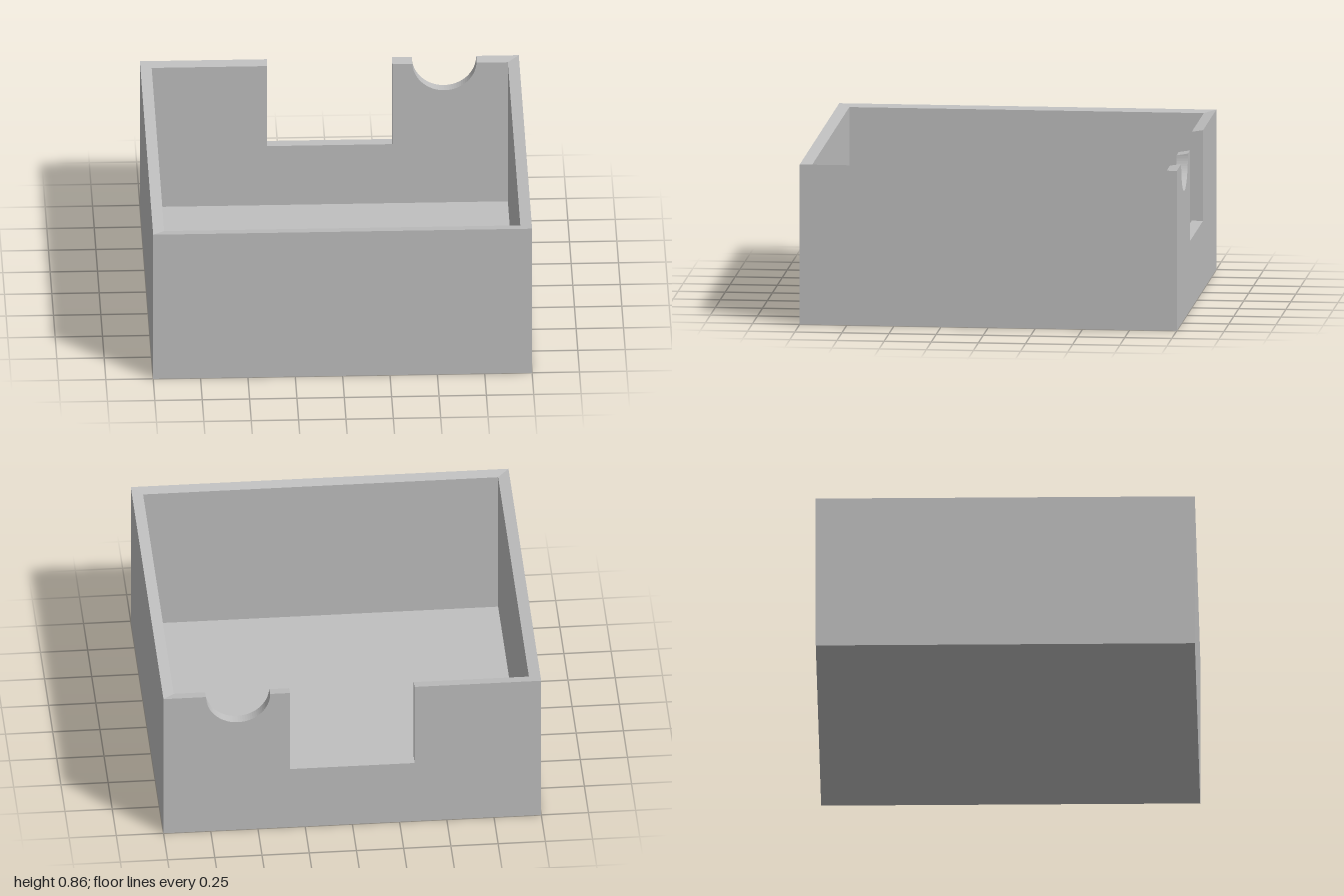
import * as THREE from 'three';

const HEIGHT = 0.855, WALL = 0.06, FLOOR = 0.02, RIM_DROP = 0.01;

// Outline of one wall, seen from outside; `cut` adds notches along the top edge
function wallShape(cut) {
  const s = new THREE.Shape();
  s.moveTo(-1, 0);
  s.lineTo(1, 0);
  s.lineTo(1, HEIGHT);
  if (cut) cut(s);
  s.lineTo(-1, HEIGHT);
  s.closePath();
  return s;
}

// Rectangular opening and half-round cradle in the back wall
function backCuts(s) {
  s.lineTo(0.33, HEIGHT);
  s.lineTo(0.33, 0.37);
  s.lineTo(-0.33, 0.37);
  s.lineTo(-0.33, HEIGHT);
  s.lineTo(-0.435, HEIGHT);
  s.absarc(-0.605, HEIGHT, 0.17, 0, -Math.PI, true);
}

// Extrude a wall, mitre its inner corners and slope its rim slightly inward
function wallGeometry(cut) {
  const geo = new THREE.ExtrudeGeometry(wallShape(cut), {
    depth: WALL, bevelEnabled: false, curveSegments: 20,
  });
  geo.translate(0, 0, 1 - WALL);
  const p = geo.attributes.position;
  for (let i = 0; i < p.count; i++) {
    if (p.getZ(i) > 0.99) continue;
    if (Math.abs(p.getX(i)) > 0.99) p.setX(i, Math.sign(p.getX(i)) * (1 - WALL));
    if (p.getY(i) > HEIGHT - 0.001) p.setY(i, HEIGHT - RIM_DROP);
  }
  geo.computeVertexNormals();
  return geo;
}

export function createModel() {
  const group = new THREE.Group();
  group.name = 'openBox';
  const grey = new THREE.MeshStandardMaterial({ color: 0xbfbfbf });
  grey.name = 'grey';

  // Four walls, turned around the vertical axis
  ['frontWall', 'leftWall', 'backWall', 'rightWall'].forEach((name, i) => {
    const wall = new THREE.Mesh(wallGeometry(name === 'backWall' ? backCuts : null), grey);
    wall.name = name;
    wall.rotation.y = i * Math.PI / 2;
    group.add(wall);
  });

  // Thin floor between the walls
  const inner = 2 * (1 - WALL);
  const floor = new THREE.Mesh(new THREE.BoxGeometry(inner, FLOOR, inner), grey);
  floor.name = 'floor';
  floor.position.y = FLOOR / 2;
  group.add(floor);

  return group;
}
